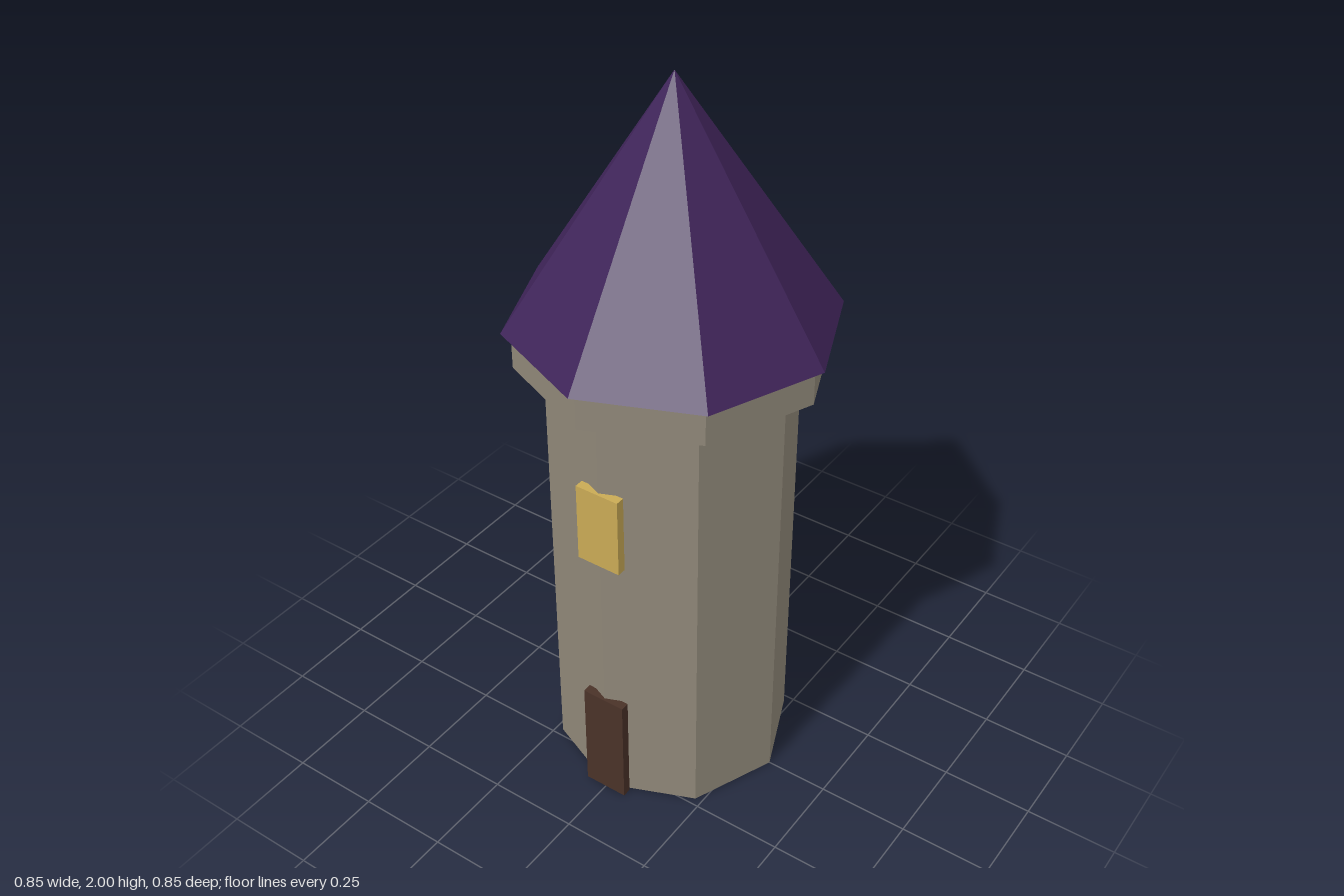
import * as THREE from 'three';

export function createModel() {
  const tower = new THREE.Group();
  tower.name = 'tower';

  const material = (name, color) => {
    const m = new THREE.MeshStandardMaterial({ color, flatShading: true });
    m.name = name;
    return m;
  };
  const stone = material('stone', 0x8f8778);
  const roofPurple = material('roof purple', 0x3f2459);
  const doorBrown = material('door brown', 0x4a3228);
  const windowGold = material('window gold', 0xc9aa55);

  const SIDES = 8;
  const add = (name, geometry, mat, y, z = 0) => {
    const mesh = new THREE.Mesh(geometry, mat);
    mesh.name = name;
    mesh.position.set(0, y, z);
    tower.add(mesh);
  };
  // Octagonal section between two heights
  const section = (name, radiusTop, radiusBottom, y0, y1, mat) =>
    add(name, new THREE.CylinderGeometry(radiusTop, radiusBottom, y1 - y0, SIDES), mat, (y0 + y1) / 2);
  // Upright slab set against the front corner of the wall
  const slab = (name, y0, y1, mat) =>
    add(name, new THREE.BoxGeometry(0.125, y1 - y0, 0.025), mat, (y0 + y1) / 2, 0.32);

  section('wall', 0.325, 0.325, 0, 1.3, stone);
  section('parapet', 0.4, 0.4, 1.255, 1.385, stone);

  // Pointed roof, overhanging the parapet slightly
  add('roof', new THREE.ConeGeometry(0.425, 0.645, SIDES), roofPurple, 1.355 + 0.645 / 2);

  slab('door', 0, 0.33, doorBrown);
  slab('window', 0.795, 1.02, windowGold);

  return tower;
}
